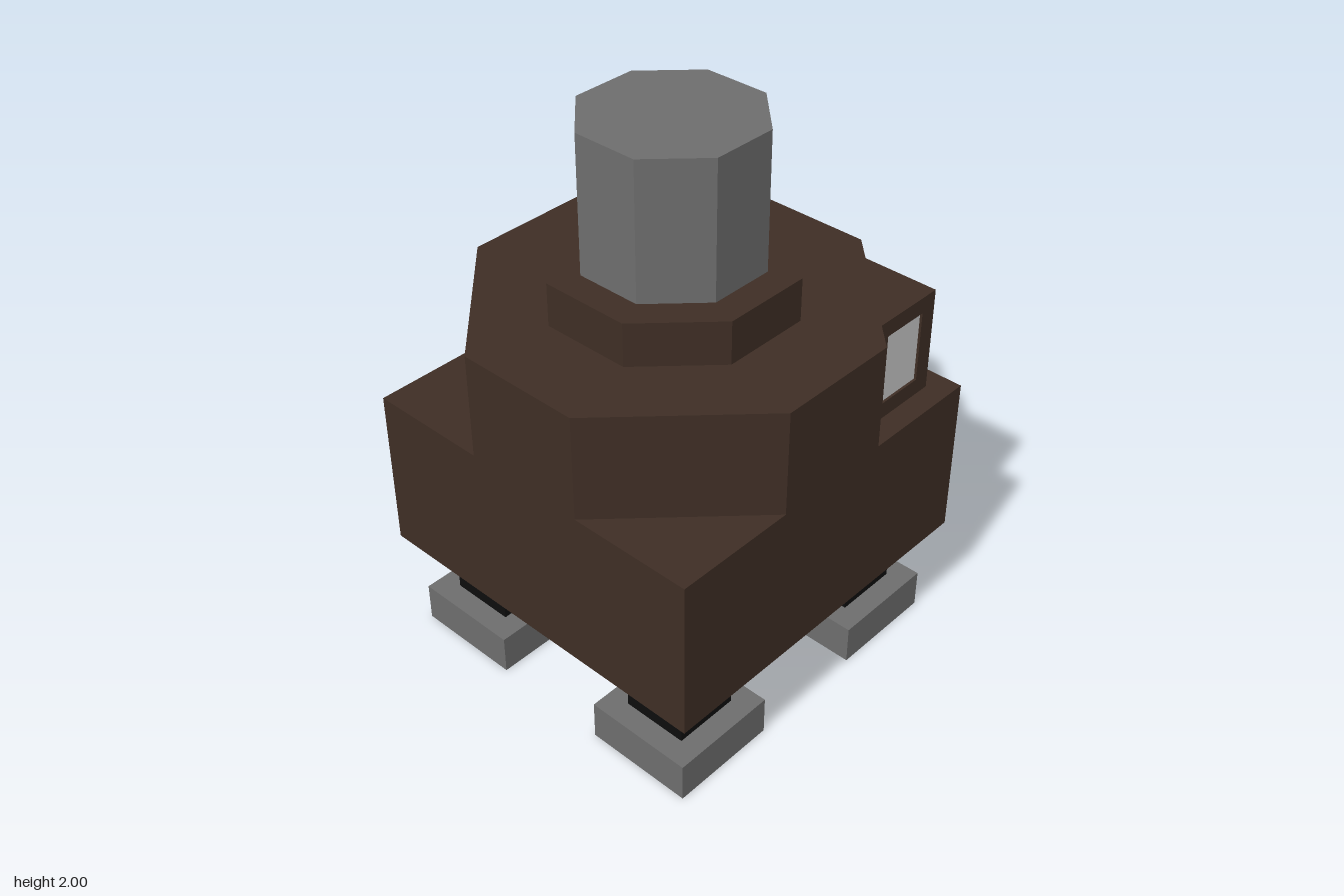
import * as THREE from 'three';

const brown = new THREE.MeshStandardMaterial({ color: 0x3f2e25 });
brown.name = 'darkBrown';
const grey = new THREE.MeshStandardMaterial({ color: 0x6e6e6e });
grey.name = 'grey';
const black = new THREE.MeshStandardMaterial({ color: 0x0d0d0d });
black.name = 'black';
const pale = new THREE.MeshStandardMaterial({ color: 0xcccccc });
pale.name = 'paleGlass';

function add(parent, name, geometry, material, x = 0, y = 0, z = 0) {
  const mesh = new THREE.Mesh(geometry, material);
  mesh.name = name;
  mesh.position.set(x, y, z);
  parent.add(mesh);
  return mesh;
}

function flat(geometry) {
  const g = geometry.toNonIndexed();
  g.computeVertexNormals();
  return g;
}

const polygon = (points) => new THREE.Shape(points.map(([x, y]) => new THREE.Vector2(x, y)));

// Regular octagon with flat sides, measured from centre to flat
const octagon = (r) => polygon([...Array(8).keys()].map((i) => {
  const a = Math.PI / 8 + i * Math.PI / 4, R = r / Math.cos(Math.PI / 8);
  return [R * Math.cos(a), R * Math.sin(a)];
}));

const extrude = (shape, depth) => new THREE.ExtrudeGeometry(shape, { depth, bevelEnabled: false });

// Upright prism; the outline's y axis points to the back
const prism = (shape, height) => extrude(shape, height).rotateX(-Math.PI / 2);

// Window surround: a panel from u0 to u1 with a window opening
function frameGeometry(u0, u1, height, depth) {
  const shape = polygon([[u0, 0], [u1, 0], [u1, height], [u0, height]]);
  shape.holes.push(polygon([[0.35, 0.06], [0.35, 0.32], [0.53, 0.32], [0.53, 0.06]]));
  return extrude(shape, depth);
}

// Projecting back corner with a window on each outer face
function cornerBay(name) {
  const bay = new THREE.Group();
  bay.name = name;
  const b = 0.592, t = 0.015, c = b - t, u0 = 0.306, h = 0.38;
  add(bay, 'bayCore', prism(polygon([[c, u0], [c, c], [u0, c]]), h), brown);
  add(bay, 'backFrame', frameGeometry(u0, b, h, t), brown, 0, 0, -b);
  add(bay, 'sideFrame', frameGeometry(u0, c, h, t).rotateY(Math.PI / 2), brown, c, 0, 0);
  add(bay, 'backWindow', new THREE.BoxGeometry(0.18, 0.26, 0.006), pale, 0.44, 0.19, -c - 0.003);
  add(bay, 'sideWindow', new THREE.BoxGeometry(0.006, 0.26, 0.18), pale, c + 0.003, 0.19, -0.44);
  bay.position.y = 0.98;
  return bay;
}

// Mitred octagonal elbow running down from the hull and out to the back
function elbowGeometry() {
  const g = new THREE.CylinderGeometry(1, 1, 2, 8, 2, true, Math.PI / 8);
  const p = g.attributes.position, r = 0.155 / Math.cos(Math.PI / 8);
  for (let i = 0; i < p.count; i++) {
    const level = p.getY(i), x = p.getX(i) * r, z = p.getZ(i) * r;
    if (level > 0.5) p.setXYZ(i, x, 0.42, -0.465 + z);
    else if (level > -0.5) p.setXYZ(i, x, 0.195 - z, -0.465 + z);
    else p.setXYZ(i, x, 0.195 - z, -0.715);
  }
  return flat(g);
}

export function createModel() {
  const root = new THREE.Group();
  root.name = 'walkingTower';
  const model = new THREE.Group();
  model.name = 'structure';
  model.position.z = 0.04;
  root.add(model);

  // Hull: square base, chamfered upper storey and collar
  add(model, 'lowerHull', new THREE.BoxGeometry(1.35, 0.595, 1.35), brown, 0, 0.6825, 0);
  const s = 0.675, k = 0.227;
  const outline = [[s, k], [k, s], [-k, s], [-s, k], [-s, -k], [-k, -s], [k, -s], [s, -k]];
  add(model, 'upperHull', prism(polygon(outline), 0.38), brown, 0, 0.98, 0);
  add(model, 'collar', prism(octagon(0.39), 0.155), brown, 0, 1.36, 0);

  // Windowed back corners
  const rightBay = cornerBay('leftCornerBay');
  const leftBay = cornerBay('rightCornerBay');
  leftBay.rotation.y = Math.PI / 2;
  model.add(rightBay, leftBay);

  // Central column through the whole body
  add(model, 'centralColumn', prism(octagon(0.287), 2), grey);

  // Four legs with square feet
  for (const x of [-1, 1]) for (const z of [-1, 1]) {
    add(model, 'foot', new THREE.BoxGeometry(0.4, 0.145, 0.4), grey, x * 0.42, 0.0725, z * 0.423);
    add(model, 'leg', new THREE.BoxGeometry(0.24, 0.25, 0.24), black, x * 0.42, 0.265, z * 0.423);
  }

  // Exhaust pipe with flanged mouth
  add(model, 'exhaustElbow', elbowGeometry(), brown);
  const ring = octagon(0.178);
  ring.holes.push(octagon(0.135));
  add(model, 'exhaustFlange', extrude(ring, 0.045), brown, 0, 0.195, -0.76);
  const mouth = new THREE.ShapeGeometry(octagon(0.14)).rotateY(Math.PI);
  add(model, 'exhaustMouth', mouth, black, 0, 0.195, -0.717);
  return root;
}
